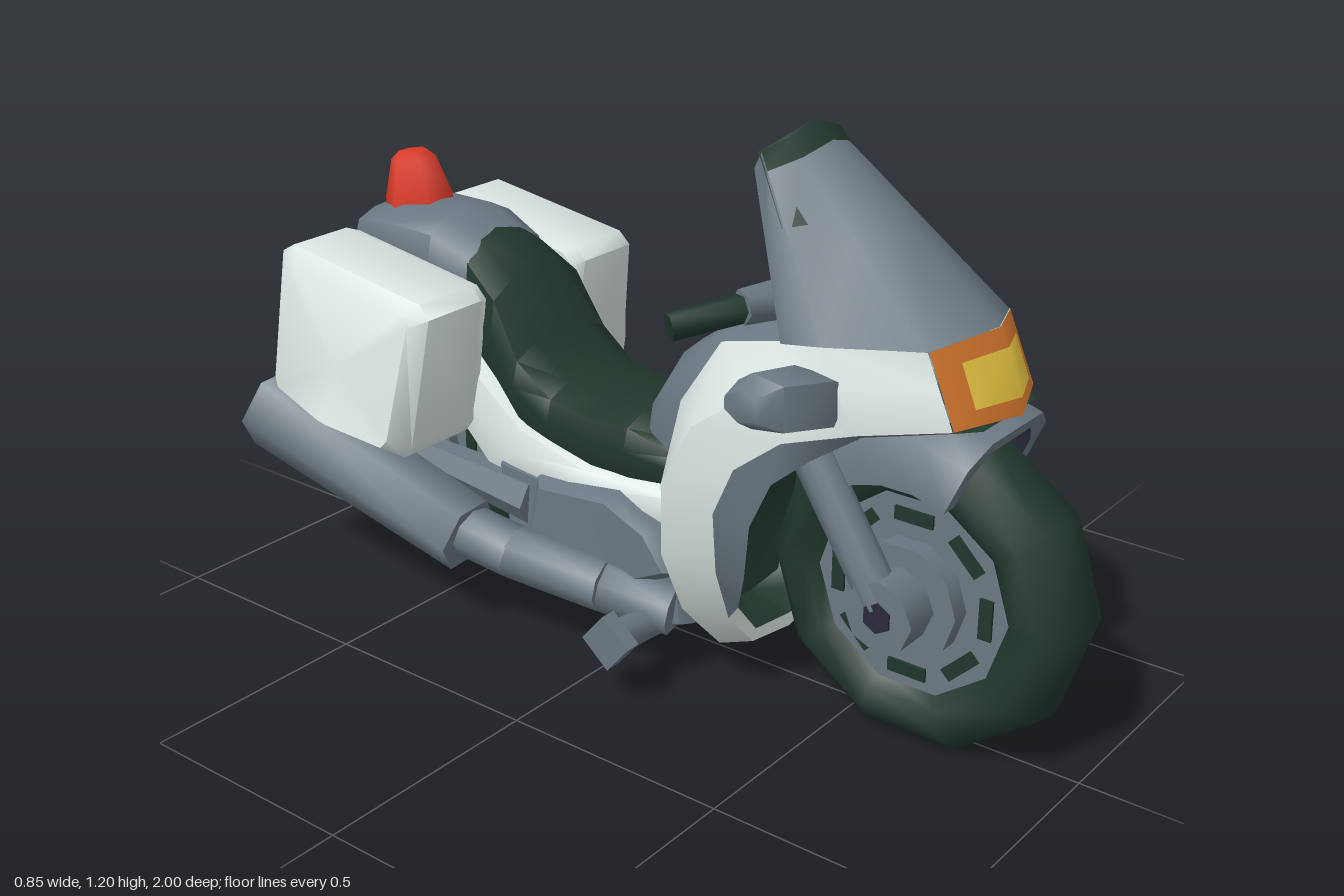
import * as THREE from 'three';
import { toCreasedNormals } from 'three/addons/utils/BufferGeometryUtils.js';

const mat = (name, color, side = THREE.FrontSide) => {
  const m = new THREE.MeshStandardMaterial({ color, side });
  m.name = name;
  return m;
};

export function createModel() {
  const root = new THREE.Group();
  root.name = 'motorcycle';
  const D = THREE.DoubleSide;
  const grey = mat('grey', 0x6a7781, D), white = mat('white', 0xdae5e2, D), green = mat('darkGreen', 0x20362b, D);
  const orange = mat('orange', 0xd0742c, D), yellow = mat('yellow', 0xe2c040, D);
  const red = mat('red', 0xd83a28), dark = mat('darkViolet', 0x2b293a, D);

  const add = (name, geo, material, crease = 0.9) => {
    const m = new THREE.Mesh(toCreasedNormals(geo, crease), material);
    m.name = name;
    root.add(m);
  };
  const both = fn => [1, -1].forEach(fn);
  const lerp3 = (a, b, t) => a.map((v, i) => v + (b[i] - v) * t);

  const fromTriangles = tris => {
    const g = new THREE.BufferGeometry();
    g.setAttribute('position', new THREE.Float32BufferAttribute(tris.flat(2), 3));
    return g;
  };
  // open surface through a grid of points, s = -1 mirrors it
  const sheet = (rows, s = 1) => {
    const tris = [], p = ([x, y, z]) => [x * s, y, z];
    for (let i = 0; i + 1 < rows.length; i++) for (let j = 0; j + 1 < rows[i].length; j++) {
      const [a, b, c, d] = [rows[i][j], rows[i][j + 1], rows[i + 1][j + 1], rows[i + 1][j]].map(p);
      tris.push(s > 0 ? [a, b, c] : [a, c, b], s > 0 ? [a, c, d] : [a, d, c]);
    }
    return fromTriangles(tris);
  };
  // rows that start on the centre line, continued to the other side
  const mirrored = rows => rows.map(r => [...r.slice(1).reverse().map(([x, y, z]) => [-x, y, z]), ...r]);
  // closed solid through rings, turned outward by its signed volume
  const loft = (rings, s = 1) => {
    const tris = [], n = rings[0].length;
    const R = rings.map(r => r.map(([x, y, z]) => [x * s, y, z]));
    for (let i = 0; i + 1 < R.length; i++) for (let j = 0; j < n; j++) {
      const k = (j + 1) % n;
      tris.push([R[i][j], R[i][k], R[i + 1][k]], [R[i][j], R[i + 1][k], R[i + 1][j]]);
    }
    const centre = r => [0, 1, 2].map(i => r.reduce((t, p) => t + p[i], 0) / n);
    const first = R[0], last = R[R.length - 1], c0 = centre(first), c1 = centre(last);
    for (let j = 0; j < n; j++) {
      const k = (j + 1) % n;
      tris.push([c0, first[k], first[j]], [c1, last[j], last[k]]);
    }
    const v = a => new THREE.Vector3(...a).sub(new THREE.Vector3(...c0));
    const vol = tris.reduce((t, [a, b, c]) => t + v(a).dot(v(b).cross(v(c))), 0);
    return fromTriangles(vol < 0 ? tris.map(([a, b, c]) => [a, c, b]) : tris);
  };
  // body along z from [z, bottom, top, halfWidth]
  const body = sections => loft(sections.map(([z, b, t, w]) => {
    const h = t - b;
    const half = [[w * 0.9, b], [w, b + h * 0.45], [w * 0.9, t - h * 0.2], [w * 0.5, t - h * 0.04]];
    return [...half.map(([x, y]) => [x, y, z]), [0, t, z], ...half.reverse().map(([x, y]) => [-x, y, z])];
  }));
  // bevelled side profile of [z, y] points spanning the width
  const prism = (poly, w, shrink = 0.85, bevel = 0.03) => {
    const cz = poly.reduce((t, p) => t + p[0], 0) / poly.length, cy = poly.reduce((t, p) => t + p[1], 0) / poly.length;
    const ring = (x, k) => poly.map(([z, y]) => [x, cy + (y - cy) * k, cz + (z - cz) * k]);
    return loft([ring(-w, shrink), ring(bevel - w, 1), ring(w - bevel, 1), ring(w, shrink)]);
  };
  const rod = (a, b, r0, r1 = r0, sides = 8) => {
    const A = new THREE.Vector3(...a), B = new THREE.Vector3(...b), d = B.clone().sub(A);
    const g = new THREE.CylinderGeometry(r1, r0, d.length(), sides, 1, false, sides === 6 ? Math.PI / 6 : 0);
    g.applyQuaternion(new THREE.Quaternion().setFromUnitVectors(new THREE.Vector3(0, 1, 0), d.normalize()));
    const m = A.add(B).multiplyScalar(0.5);
    return g.translate(m.x, m.y, m.z);
  };

  // wheels, the front one narrower
  const axleY = 0.328, axleZ = 0.655;
  const tyreProfile = [[-0.68, 0.205], [-0.94, 0.235], [-1, 0.285], [-0.6, 0.332], [0, 0.345],
    [0.6, 0.332], [1, 0.285], [0.94, 0.235], [0.68, 0.205]];
  for (const [name, z, width] of [['front', axleZ, 0.106], ['rear', -axleZ, 0.128]]) {
    const tyre = new THREE.LatheGeometry(tyreProfile.map(([a, r]) => new THREE.Vector2(r, a * width)), 10);
    add(name + 'Tyre', tyre.rotateZ(Math.PI / 2).translate(0, axleY, z), green, 1.2);
    const disc = (part, r, w, m, n = 10) => add(name + part, rod([-w, axleY, z], [w, axleY, z], r, r, n), m);
    disc('Rim', 0.215, width * 0.74, grey);
    disc('BrakeDisc', 0.122, 0.12, grey);
    disc('Hub', 0.075, 0.2, grey, 8);
    disc('Axle', 0.032, 0.205, dark, 6);
    both(s => {
      for (let i = 0; i < 8; i++) {
        const slot = new THREE.BoxGeometry(0.008, 0.028, 0.085).translate(s * (width * 0.74 + 0.002), 0.165, 0);
        add(name + 'RimSlot', slot.rotateX(i * Math.PI / 4).translate(0, axleY, z), green);
      }
    });
  }

  // front fork and thick mudguard with dark lining
  both(s => add('forkLeg', rod([s * 0.165, 0.34, 0.645], [s * 0.165, 0.72, 0.4], 0.042), grey));
  const guard = (kx, dr) => mirrored([66, 82, 98, 112, 126].map(deg => {
    const a = deg * Math.PI / 180;
    return [[0, 0.4], [0.095, 0.4], [0.148, 0.355], [0.152, 0.25]]
      .map(([x, r]) => [x * kx, axleY + (r - dr) * Math.sin(a), axleZ + (r - dr) * Math.cos(a)]);
  }));
  const outer = guard(1, 0), inner = guard(0.76, 0.03);
  inner.forEach((row, i) => [0, row.length - 1].forEach(j => row[j].splice(1, 2, ...outer[i][j].slice(1))));
  add('frontMudguard', sheet(outer), grey);
  add('mudguardLip', sheet([outer[0], inner[0]]), grey);
  add('mudguardLining', sheet(inner), dark);

  // fairing rows: rim, widest line, rear edge, inner lip, deep lining
  const fairing = [
    [[0.15, 0.72, 0.765], [0.15, 0.79, 0.735], [0.15, 0.86, 0.705], [0.14, 0.715, 0.765], [0.1, 0.715, 0.8]],
    [[0.21, 0.69, 0.6], [0.23, 0.78, 0.56], [0.21, 0.845, 0.52], [0.19, 0.68, 0.6], [0.15, 0.71, 0.5]],
    [[0.25, 0.65, 0.46], [0.255, 0.74, 0.4], [0.18, 0.82, 0.4], [0.225, 0.62, 0.51], [0.18, 0.67, 0.35]],
    [[0.275, 0.58, 0.37], [0.29, 0.65, 0.28], [0.14, 0.77, 0.24], [0.25, 0.56, 0.44], [0.2, 0.6, 0.22]],
    [[0.285, 0.48, 0.33], [0.306, 0.52, 0.22], [0.14, 0.62, 0.14], [0.255, 0.46, 0.395], [0.2, 0.48, 0.2]],
    [[0.26, 0.34, 0.32], [0.28, 0.35, 0.2], [0.14, 0.42, 0.12], [0.235, 0.33, 0.37], [0.19, 0.34, 0.2]],
    [[0.215, 0.22, 0.32], [0.225, 0.21, 0.21], [0.14, 0.25, 0.13], [0.19, 0.235, 0.325], [0.15, 0.24, 0.2]],
    [[0.13, 0.13, 0.32], [0.135, 0.1, 0.24], [0.11, 0.11, 0.16], [0.12, 0.155, 0.32], [0.1, 0.17, 0.22]],
    [[0, 0.11, 0.32], [0, 0.08, 0.25], [0, 0.09, 0.16], [0, 0.14, 0.32], [0, 0.16, 0.22]]];
  both(s => {
    add('fairing', sheet(fairing.map(([f, w, r]) => [f, w, r]), s), white);
    add('fairingLip', sheet(fairing.slice(0, 7).map(r => [r[0], r[3]]), s), grey);
    add('fairingLowerLip', sheet(fairing.slice(6).map(r => [r[0], r[3]]), s), white);
    add('fairingLining', sheet(fairing.map(r => [r[3], r[4], [0, r[4][1], r[4][2]]]), s), green);
  });

  // windscreen with dark top edge
  const low = [[0, 0.88, 0.765], [0.148, 0.86, 0.705], [0.213, 0.845, 0.52], [0.2, 0.825, 0.42]];
  const high = [[0, 1.2, 0.35], [0.07, 1.18, 0.34], [0.13, 1.16, 0.32], [0.125, 1.125, 0.3]];
  const screen = (ts, from, to, dz = 0) => ts.map(t => low.map((p, i) => lerp3(p, high[i], t))
    .slice(from, to).map(([x, y, z]) => [x, y, z + dz]));
  add('windscreen', sheet(mirrored(screen([0, 0.5, 0.9], 0, 4))), grey, 1.1);
  add('windscreenEdge', sheet(mirrored(screen([0.9, 1], 0, 3))), green, 1.1);
  both(s => add('windscreenCorner', sheet(screen([0.9, 1], 2, 4), s), grey));
  add('windscreenInside', sheet(mirrored(screen([0.6, 1], 0, 3, -0.008))), green, 1.1);

  // headlight panel and lens
  const lampPoint = (u, v) => lerp3(lerp3([0, 0.722, 0.826], [0.148, 0.72, 0.766], u), lerp3([0, 0.88, 0.767], [0.148, 0.86, 0.707], u), v);
  const lens = [0.2, 0.77].map(v => [0, 0.67].map(u => lampPoint(u, v)).map(([x, y, z]) => [x, y + 0.002, z + 0.007]));
  add('headlightFrame', sheet(mirrored([0, 1].map(v => [lampPoint(0, v), lampPoint(1, v)]))), orange);
  add('headlightLens', sheet(mirrored(lens)), yellow);

  // mirrors and handlebar
  both(s => {
    const mirror = (x, y0, y1, z0, z1) => [[x, y0 + 0.02, z0], [x, y1 - 0.02, z0], [x, y1, z0 + 0.03], [x, y1 - 0.01, z1], [x, y0 + 0.01, z1], [x, y0, z0 + 0.03]];
    add('mirror', loft([mirror(0.2, 0.72, 0.79, 0.47, 0.56), mirror(0.24, 0.7, 0.81, 0.45, 0.57),
      mirror(0.33, 0.705, 0.815, 0.42, 0.52), mirror(0.36, 0.725, 0.79, 0.41, 0.48)], s), grey);
    add('handlebar', rod([0, 0.87, 0.38], [s * 0.18, 0.868, 0.315], 0.045, 0.035, 6), grey, 1.1);
    add('grip', rod([s * 0.16, 0.867, 0.32], [s * 0.3, 0.845, 0.235], 0.031, 0.028, 6), green, 1.1);
  });

  // tank with dashboard, seat, tail and side panels
  add('tank', body([[0.71, 0.74, 0.84, 0.12], [0.55, 0.72, 0.83, 0.19], [0.4, 0.6, 0.815, 0.17], [0.28, 0.45, 0.795, 0.145], [0.18, 0.43, 0.765, 0.14],
    [0.09, 0.42, 0.7, 0.13], [0.035, 0.42, 0.61, 0.11], [0.02, 0.42, 0.52, 0.1]]), grey);
  add('seat', body([[0.13, 0.42, 0.5, 0.14], [0, 0.41, 0.55, 0.155], [-0.1, 0.41, 0.542, 0.155], [-0.21, 0.42, 0.56, 0.155], [-0.3, 0.47, 0.63, 0.16],
    [-0.37, 0.54, 0.76, 0.15], [-0.46, 0.6, 0.82, 0.13], [-0.5, 0.62, 0.83, 0.11]]), green);
  add('tailCover', body([[-0.46, 0.66, 0.815, 0.125], [-0.56, 0.68, 0.86, 0.14], [-0.7, 0.7, 0.86, 0.14], [-0.8, 0.72, 0.835, 0.125], [-0.87, 0.74, 0.775, 0.025]]), grey);
  add('tailFender', body([[-0.42, 0.6, 0.72, 0.15], [-0.6, 0.66, 0.76, 0.155], [-0.82, 0.68, 0.775, 0.145], [-0.9, 0.7, 0.765, 0.025]]), white);
  add('sidePanels', body([[0.15, 0.3, 0.43, 0.165], [-0.1, 0.33, 0.425, 0.18], [-0.28, 0.34, 0.48, 0.18], [-0.38, 0.34, 0.56, 0.17], [-0.48, 0.42, 0.62, 0.155]]), white);

  // engine, belly pan and swingarm
  add('engineCover', prism([[0.18, 0.26], [0.12, 0.34], [0, 0.39], [-0.21, 0.37], [-0.24, 0.23], [0.04, 0.19]], 0.215), grey);
  add('engineBlock', prism([[0.18, 0.13], [0.16, 0.27], [-0.2, 0.36], [-0.34, 0.37], [-0.31, 0.19], [-0.27, 0.107], [0.06, 0.107]], 0.175, 0.95), grey);
  add('bellyPan', new THREE.BoxGeometry(0.28, 0.008, 0.32).translate(0, 0.104, -0.105), dark);
  both(s => add('swingarm', rod([s * 0.15, 0.29, -0.25], [s * 0.165, axleY, -axleZ], 0.055, 0.035, 6), grey));

  // exhausts
  both(s => {
    const pipe = [[0.17, 0.165, 0.15], [0.215, 0.19, 0], [0.255, 0.215, -0.22], [0.285, 0.25, -0.38]];
    for (let i = 0; i < 3; i++) add('exhaustPipe', rod(...[pipe[i], pipe[i + 1]].map(([x, y, z]) => [x * s, y, z]), 0.058), grey);
    const a = [s * 0.28, 0.23, -0.33], b = [s * 0.312, 0.395, -0.905];
    add('muffler', rod(a, b, 0.085, 0.098, 6), grey, 1.1);
    add('mufflerOpening', rod(lerp3(a, b, 0.99), lerp3(a, b, 1.005), 0.072, 0.072, 6), green);
  });

  // foot pegs
  both(s => {
    add('pegBar', rod([0, 0.115, 0.11], [s * 0.33, 0.15, 0.11], 0.03, 0.035), grey);
    add('pegEnd', new THREE.BoxGeometry(0.035, 0.085, 0.085).rotateX(0.7).translate(s * 0.333, 0.148, 0.11), grey);
  });

  // saddlebags with chamfered corners, bulging low in the middle
  const corners = [[-0.37, 0.75], [-0.81, 0.815], [-0.842, 0.475], [-0.62, 0.44], [-0.42, 0.41]];
  const bagRing = (xs, k) => {
    const at = i => [xs[i % 5], 0.612 + (corners[i % 5][1] - 0.612) * k, -0.61 + (corners[i % 5][0] + 0.61) * k];
    return corners.flatMap((c, i) => [lerp3(at(i), at(i + 4), 0.07), lerp3(at(i), at(i + 1), 0.07)]);
  };
  both(s => add('saddlebag', loft([bagRing([0.14, 0.14, 0.14, 0.14, 0.14], 0.94), bagRing([0.17, 0.17, 0.17, 0.17, 0.17], 1),
    bagRing([0.325, 0.325, 0.35, 0.385, 0.355], 1), bagRing([0.355, 0.35, 0.385, 0.425, 0.4], 0.85)], s), white));

  // beacon, leaning back
  const beacon = new THREE.LatheGeometry([[0, 0], [0.08, 0], [0.078, 0.03], [0.052, 0.115], [0.032, 0.132], [0, 0.132]].map(p => new THREE.Vector2(...p)), 6);
  add('beacon', beacon.rotateY(Math.PI / 6).rotateX(-0.14).translate(0, 0.83, -0.715), red, 1.1);
  return root;
}
